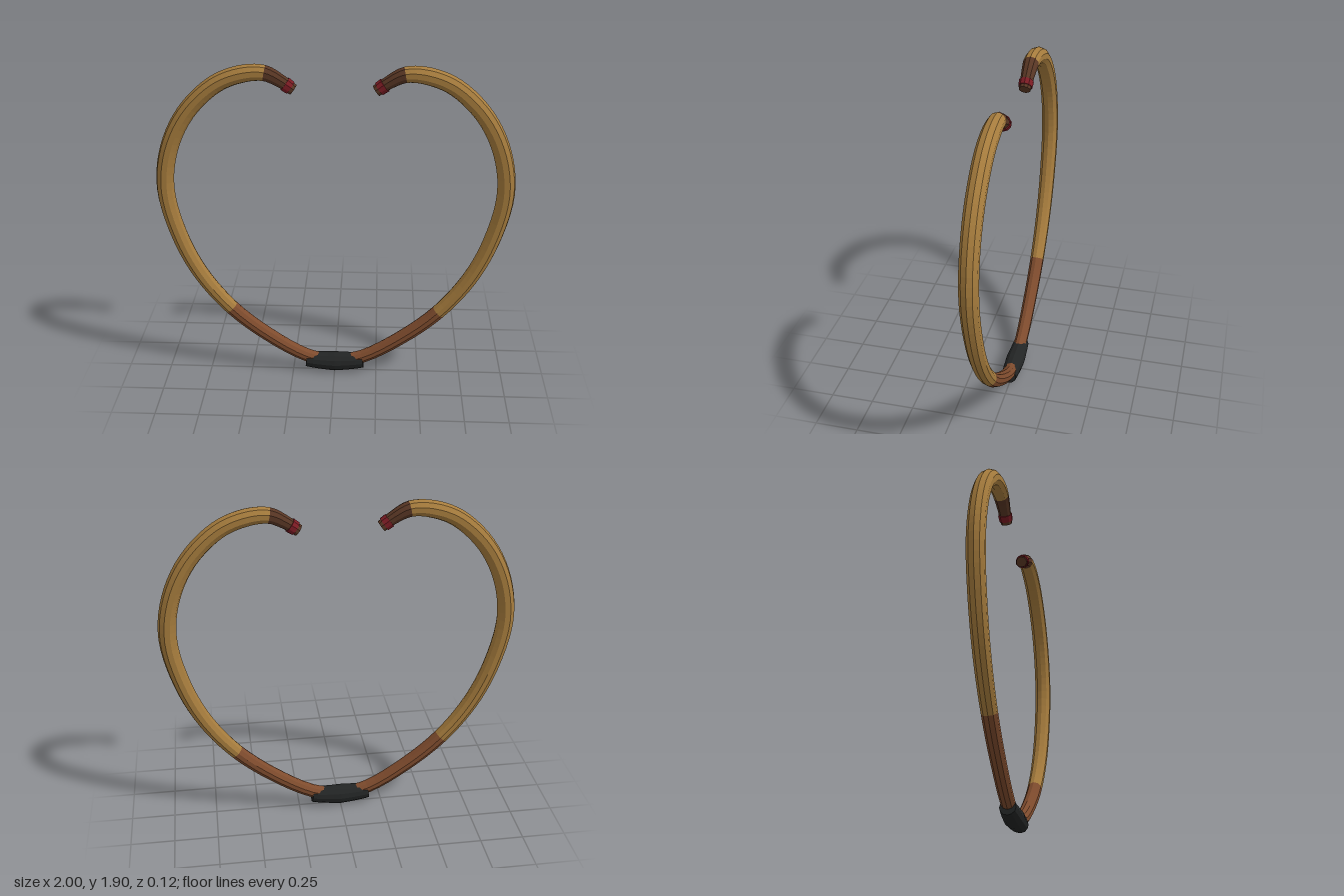
import * as THREE from 'three';

const mat = (name, color) => {
  const m = new THREE.MeshStandardMaterial({ color, flatShading: true });
  m.name = name;
  return m;
};

// Limb centre line from grip to tip: x, y, radius
const LIMB = [
  [0, 0.06, 0.038], [0.17, 0.1, 0.039], [0.4, 0.24, 0.041], [0.61, 0.42, 0.043],
  [0.78, 0.645, 0.046], [0.89, 0.89, 0.048], [0.95, 1.18, 0.05], [0.915, 1.42, 0.05],
  [0.81, 1.63, 0.05], [0.645, 1.79, 0.05], [0.5, 1.85, 0.049], [0.376, 1.857, 0.045],
  [0.29, 1.815, 0.037], [0.25, 1.787, 0.034], [0.222, 1.767, 0.033],
];

// Sweeps a round section along part of a planar path; from and to are point indices
function sweep(path, from, to, { side = 1, steps = 4, sides = 10, grow = 0 } = {}) {
  const last = path.length - 1;
  const curve = new THREE.CatmullRomCurve3(path.map(([x, y]) => new THREE.Vector3(x * side, y, 0)));
  const rows = Math.max(2, Math.round((to - from) * steps));
  const pos = [], index = [];
  for (let i = 0; i <= rows; i++) {
    const u = from + (to - from) * i / rows;
    const p = curve.getPoint(u / last), t = curve.getTangent(u / last);
    const k = Math.min(Math.floor(u), last - 1);
    const r = THREE.MathUtils.lerp(path[k][2], path[k + 1][2], u - k) + grow;
    for (let j = 0; j < sides; j++) {
      const a = j / sides * Math.PI * 2, n = Math.cos(a) * r;
      pos.push(p.x - t.y * n, p.y + t.x * n, Math.sin(a) * r);
    }
  }
  for (let i = 0; i < rows; i++) {
    for (let j = 0; j < sides; j++) {
      const a = i * sides + j, b = i * sides + (j + 1) % sides;
      index.push(a, b, b + sides, a, b + sides, a + sides);
    }
  }
  // End caps
  const top = rows * sides;
  for (let j = 1; j < sides - 1; j++) index.push(0, j + 1, j, top, top + j, top + j + 1);
  const geo = new THREE.BufferGeometry();
  geo.setAttribute('position', new THREE.Float32BufferAttribute(pos, 3));
  geo.setIndex(index);
  geo.computeVertexNormals();
  return geo;
}

export function createModel() {
  const bow = new THREE.Group();
  bow.name = 'unstrungBow';
  const horn = mat('golden horn', 0xa67c3d);
  const wood = mat('reddish wood', 0x7e4b2d);
  const darkWood = mat('dark wood', 0x583624);
  const binding = mat('red binding', 0x7c1c24);
  const leather = mat('black leather', 0x222424);

  const add = (parent, name, geo, material) => {
    const mesh = new THREE.Mesh(geo, material);
    mesh.name = name;
    parent.add(mesh);
  };

  // Two mirrored limbs, each in sections
  for (const side of [1, -1]) {
    const limb = new THREE.Group();
    limb.name = side > 0 ? 'leftLimb' : 'rightLimb';
    add(limb, 'limbRoot', sweep(LIMB, 0, 3, { side }), wood);
    add(limb, 'limbBend', sweep(LIMB, 3, 11, { side, steps: 5 }), horn);
    add(limb, 'limbTip', sweep(LIMB, 11, 14, { side }), darkWood);
    add(limb, 'tipBinding', sweep(LIMB, 12.55, 13.45, { side, grow: 0.006 }), binding);
    bow.add(limb);
  }

  // Wrapped handle, slightly curved
  const grip = [[-0.17, 0.073, 0.045], [-0.155, 0.071, 0.047], [0, 0.062, 0.058], [0.155, 0.071, 0.047], [0.17, 0.073, 0.045]];
  add(bow, 'grip', sweep(grip, 0, 4, { sides: 12 }), leather);
  return bow;
}
